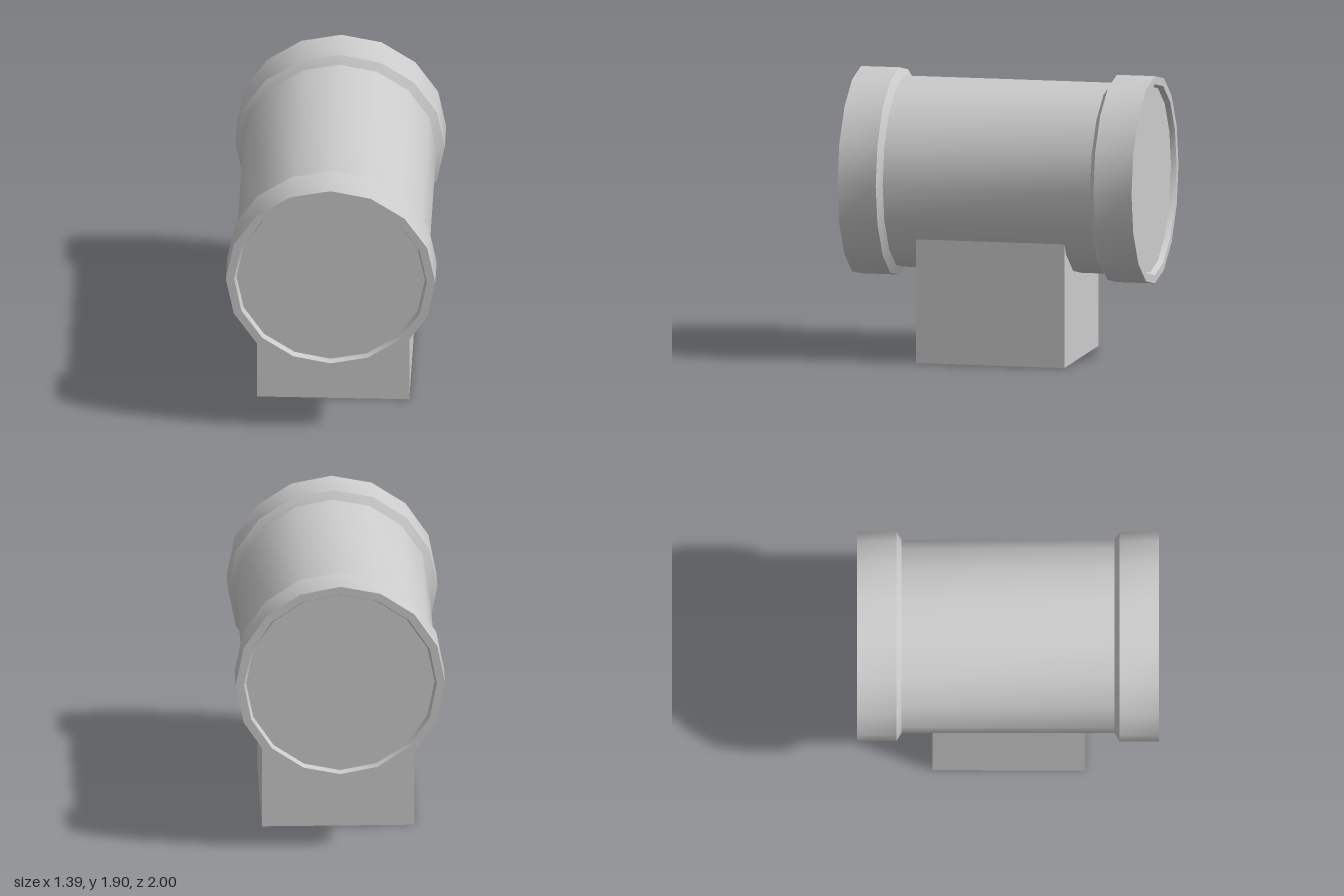
import * as THREE from 'three';
import { toCreasedNormals } from 'three/addons/utils/BufferGeometryUtils.js';

const AXIS_HEIGHT = 1.205;
const SIDES = 16;

export function createModel() {
  const model = new THREE.Group();
  model.name = 'barrelOnBlock';
  const grey = new THREE.MeshStandardMaterial({ color: 0xcccccc });

  // Half profile (radius, distance along axis): end panel, rim, collar, bevel, body
  const half = [
    [0, 0.965],
    [0.625, 0.965],
    [0.64, 1],
    [0.695, 1],
    [0.695, 0.74],
    [0.641, 0.705],
  ];
  const profile = [
    ...half.map(([r, d]) => new THREE.Vector2(r, -d)),
    ...half.slice().reverse().map(([r, d]) => new THREE.Vector2(r, d)),
  ];

  // Barrel lying along z, with a thick collar and a recessed panel at each end
  const barrelGeometry = toCreasedNormals(
    new THREE.LatheGeometry(profile, SIDES),
    THREE.MathUtils.degToRad(30)
  );
  barrelGeometry.rotateX(Math.PI / 2);
  const barrel = new THREE.Mesh(barrelGeometry, grey);
  barrel.name = 'barrel';
  barrel.position.y = AXIS_HEIGHT;
  model.add(barrel);

  // Square block carrying the barrel
  const base = new THREE.Mesh(new THREE.BoxGeometry(1.01, 0.83, 1.01), grey);
  base.name = 'baseBlock';
  base.position.set(0, 0.415, 0.005);
  model.add(base);

  return model;
}
